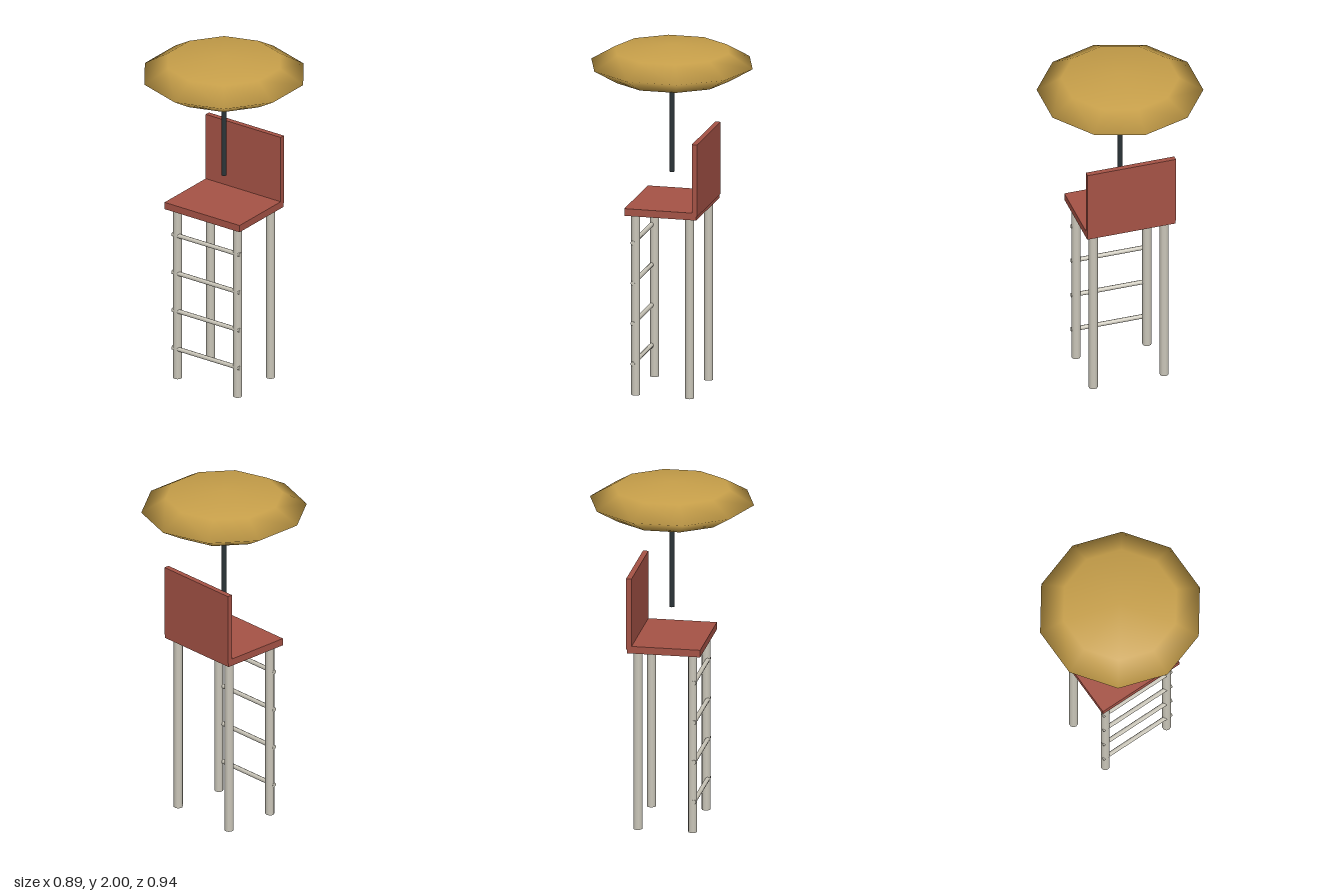
import * as THREE from 'three';

const mat = (name, color) => {
  const m = new THREE.MeshStandardMaterial({ color });
  m.name = name;
  return m;
};

export function createModel() {
  const model = new THREE.Group();
  model.name = 'lookoutChair';
  const red = mat('brick red', 0xa65346);
  const pale = mat('pale grey', 0xcbc7ba);
  const dark = mat('dark slate', 0x2b3438);
  const gold = mat('mustard gold', 0xc8a04a);

  const add = (name, geometry, material, x, y, z) => {
    const mesh = new THREE.Mesh(geometry, material);
    mesh.name = name;
    mesh.position.set(x, y, z);
    model.add(mesh);
    return mesh;
  };

  // Four tall legs
  const legGeometry = new THREE.CylinderGeometry(0.026, 0.026, 1.055, 10);
  for (const x of [-0.21, 0.21]) {
    for (const z of [0.157, -0.157]) {
      const name = (z > 0 ? 'front' : 'back') + (x > 0 ? 'Left' : 'Right') + 'Leg';
      add(name, legGeometry, pale, x, 0.5275, z);
    }
  }

  // Ladder rungs set into the front legs
  const rungGeometry = new THREE.CylinderGeometry(0.013, 0.013, 0.472, 8);
  rungGeometry.rotateZ(Math.PI / 2);
  for (let i = 0; i < 4; i++) {
    add('rung' + (i + 1), rungGeometry, pale, 0, 0.184 + i * 0.235, 0.168);
  }

  // Seat board and backrest
  add('seat', new THREE.BoxGeometry(0.524, 0.042, 0.419), red, 0, 1.073, 0);
  add('backrest', new THREE.BoxGeometry(0.524, 0.419, 0.031), red, 0, 1.284, -0.199);

  // Parasol pole, with its free end above the seat
  add('parasolPole', new THREE.CylinderGeometry(0.015, 0.015, 0.63, 8), dark, 0, 1.573, 0);

  // Flattened ten-sided canopy
  const canopyGeometry = new THREE.SphereGeometry(0.47, 10, 4);
  canopyGeometry.rotateY(Math.PI / 2);
  const canopy = add('canopy', canopyGeometry, gold, 0, 1.885, 0);
  canopy.scale.y = 0.115 / 0.47;

  return model;
}
